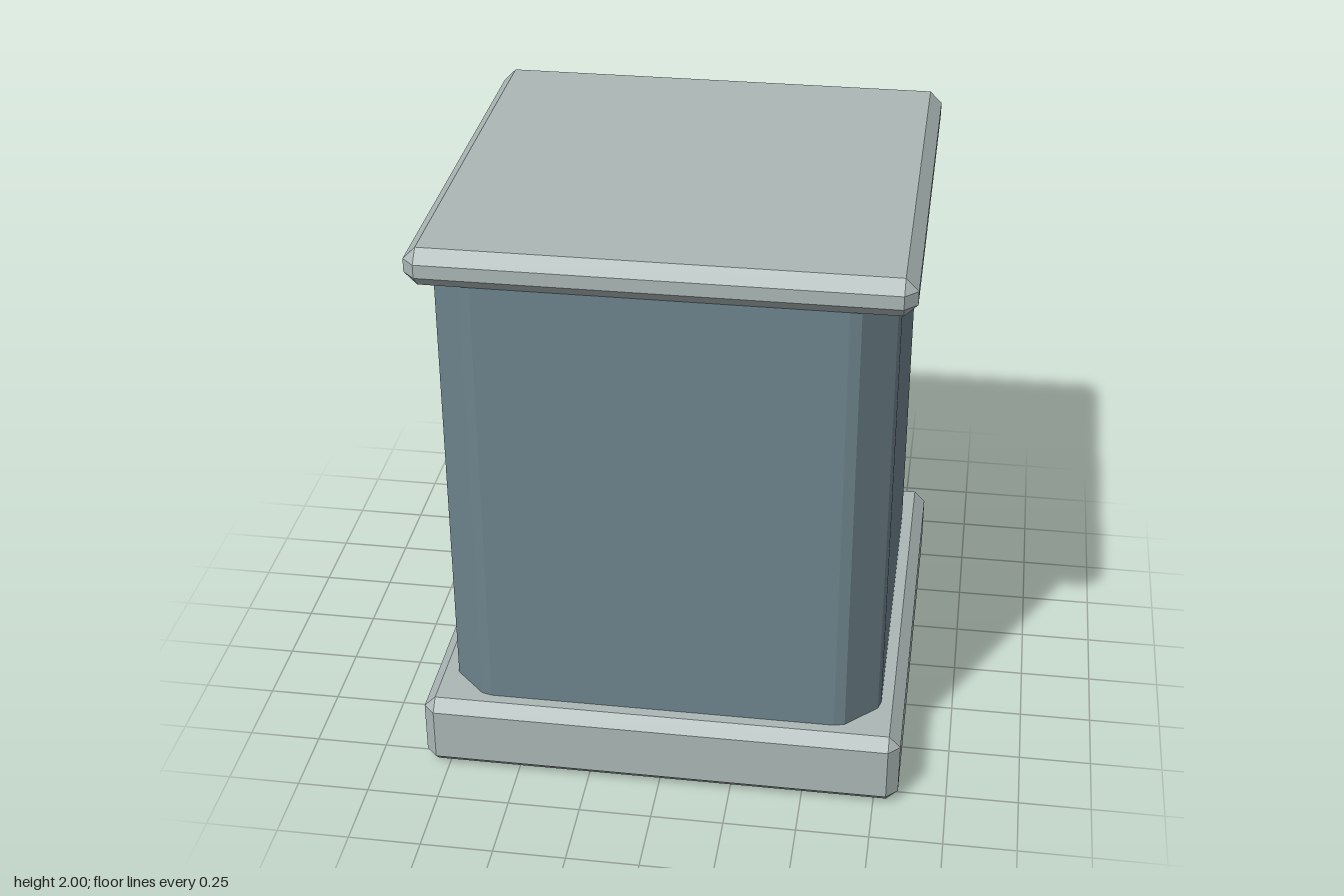
import * as THREE from 'three';
import { ConvexGeometry } from 'three/addons/geometries/ConvexGeometry.js';

// Box with every edge cut by a flat chamfer c
function chamferBox(w, h, d, c) {
  const points = [];
  for (const x of [-w / 2, w / 2])
    for (const y of [-h / 2, h / 2])
      for (const z of [-d / 2, d / 2])
        for (let axis = 0; axis < 3; axis++) {
          const inset = [x, y, z].map((v, i) => (i === axis ? v : v - Math.sign(v) * c));
          points.push(new THREE.Vector3(...inset));
        }
  return new ConvexGeometry(points);
}

function material(name, color) {
  const m = new THREE.MeshStandardMaterial({ color });
  m.name = name;
  return m;
}

export function createModel() {
  const model = new THREE.Group();
  model.name = 'pedestal';
  const slate = material('slate blue', 0x6d838c);
  const stone = material('pale grey', 0xabb7b6);
  const brass = material('brass', 0xc8ae72);

  const add = (name, geometry, mat, x, y, z) => {
    const mesh = new THREE.Mesh(geometry, mat);
    mesh.name = name;
    mesh.position.set(x, y, z);
    model.add(mesh);
  };

  // Plinth and lid
  add('base', chamferBox(1.668, 0.27, 1.664, 0.04), stone, 0, 0.135, 0);
  add('lid', chamferBox(1.614, 0.13, 1.596, 0.042), stone, 0, 1.935, 0);

  // Square column with three-facet corners
  const corner = [[0.754, 0.6], [0.744, 0.637], [0.637, 0.744], [0.6, 0.754]];
  const outline = [];
  for (let k = 0; k < 4; k++) {
    const a = k * Math.PI / 2;
    for (const [x, y] of corner)
      outline.push(new THREE.Vector2(x, y).rotateAround(new THREE.Vector2(), a));
  }
  const column = new THREE.ExtrudeGeometry(new THREE.Shape(outline), { depth: 1.64, bevelEnabled: false });
  column.rotateX(-Math.PI / 2);
  add('column', column, slate, 0, 0.25, 0);

  // Upright strips on the back
  for (const side of [-1, 1])
    add(side > 0 ? 'leftStrip' : 'rightStrip', chamferBox(0.1, 1.57, 0.054, 0.015), stone, side * 0.55, 1.035, -0.77);

  // Blank plate on the back, held off the column
  add('plate', chamferBox(0.444, 0.212, 0.031, 0.008), brass, 0, 1.453, -0.8165);

  return model;
}
